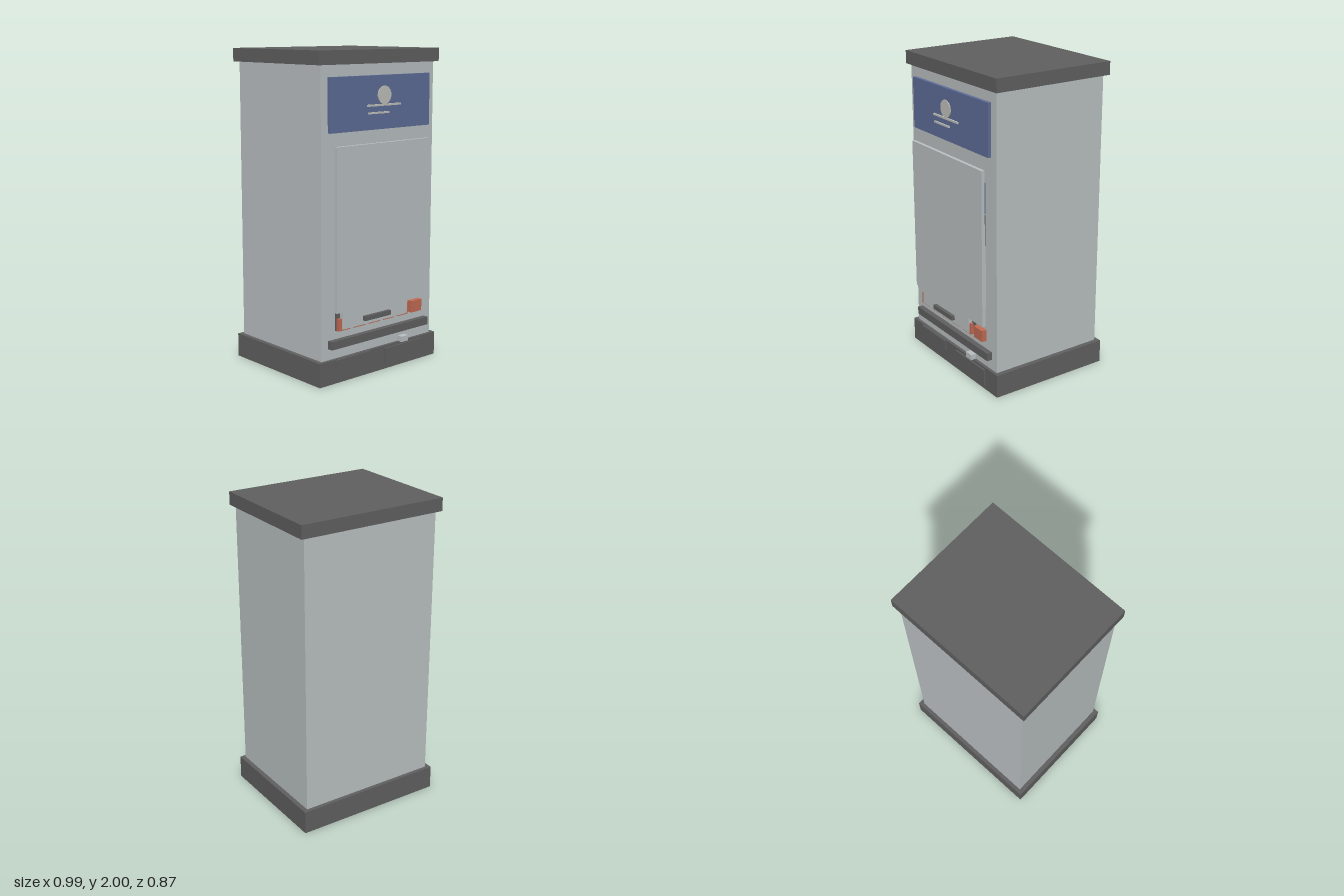
import * as THREE from 'three';

const mat = (name, color) => {
  const m = new THREE.MeshStandardMaterial({ color });
  m.name = name;
  return m;
};

export function createModel() {
  const light = mat('light grey', 0xbcc2c4);
  const dark = mat('dark grey', 0x616161);
  const blue = mat('blue', 0x5f6f9a);
  const red = mat('red', 0xc46c55);
  const pale = mat('pale grey', 0xc2c3be);

  const model = new THREE.Group();
  model.name = 'vendingMachine';

  // Box given by its extents on each axis
  const box = (name, material, [x0, x1], [y0, y1], [z0, z1], parent = model) => {
    const mesh = new THREE.Mesh(new THREE.BoxGeometry(x1 - x0, y1 - y0, z1 - z0), material);
    mesh.position.set((x0 + x1) / 2, (y0 + y1) / 2, (z0 + z1) / 2);
    mesh.name = name;
    parent.add(mesh);
    return mesh;
  };

  // Cabinet with overhanging base and roof
  box('cabinet', light, [-0.465, 0.465], [0, 1.93], [-0.408, 0.37]);
  box('base', dark, [-0.495, 0.495], [0.001, 0.152], [-0.433, 0.39]);
  box('roof', dark, [-0.495, 0.495], [1.917, 2], [-0.433, 0.39]);

  // Sign panel and its raised ornament
  box('signPanel', blue, [-0.412, 0.412], [1.523, 1.847], [0.365, 0.392]);
  const ornament = new THREE.Group();
  ornament.name = 'signOrnament';
  const disc = new THREE.Mesh(new THREE.CylinderGeometry(0.055, 0.055, 0.005, 24), pale);
  disc.rotation.x = Math.PI / 2;
  disc.position.set(0, 1.73, 0.4145);
  disc.name = 'ornamentDisc';
  ornament.add(disc);
  box('ornamentLongBar', pale, [-0.137, 0.134], [1.665, 1.677], [0.409, 0.418], ornament);
  box('ornamentShortBar', pale, [-0.13, 0.037], [1.62, 1.631], [0.409, 0.418], ornament);
  model.add(ornament);

  // Goods in four rows of six, with a row of price tags below
  const goods = new THREE.Group();
  goods.name = 'goods';
  const cycle = [dark, blue, light, pale];
  for (let col = 0; col < 6; col++) {
    const x = (col - 2.5) * 0.1235;
    for (let row = 0; row < 4; row++) {
      const y = 1.257 - row * 0.2025;
      box('item', cycle[(col + 3 * row) % 4], [x - 0.041, x + 0.041], [y - 0.097, y + 0.097], [0.369, 0.401], goods);
    }
    box('lowerTag', red, [x - 0.046, x + 0.046], [0.328, 0.403], [0.369, 0.404], goods);
  }
  model.add(goods);

  // Display window
  box('displayWindow', light, [-0.389, 0.389], [0.449, 1.445], [0.402, 0.424]);

  // Collection hatch with flap and handle
  box('hatchBack', dark, [-0.358, 0.245], [0.326, 0.547], [0.368, 0.383]);
  box('hatchFlap', light, [-0.33, 0.216], [0.336, 0.54], [0.385, 0.41]);
  box('hatchHandle', dark, [-0.164, 0.054], [0.362, 0.391], [0.408, 0.433]);

  // Bumper rail, base panels and latch
  box('bumperRail', dark, [-0.412, 0.412], [0.222, 0.273], [0.369, 0.406]);
  box('leftVentPanel', dark, [0.042, 0.366], [0.026, 0.137], [0.388, 0.401]);
  box('rightVentPanel', dark, [-0.371, -0.088], [0.088, 0.149], [0.388, 0.401]);
  box('latch', light, [0.175, 0.234], [0.15, 0.186], [0.369, 0.406]);

  return model;
}
